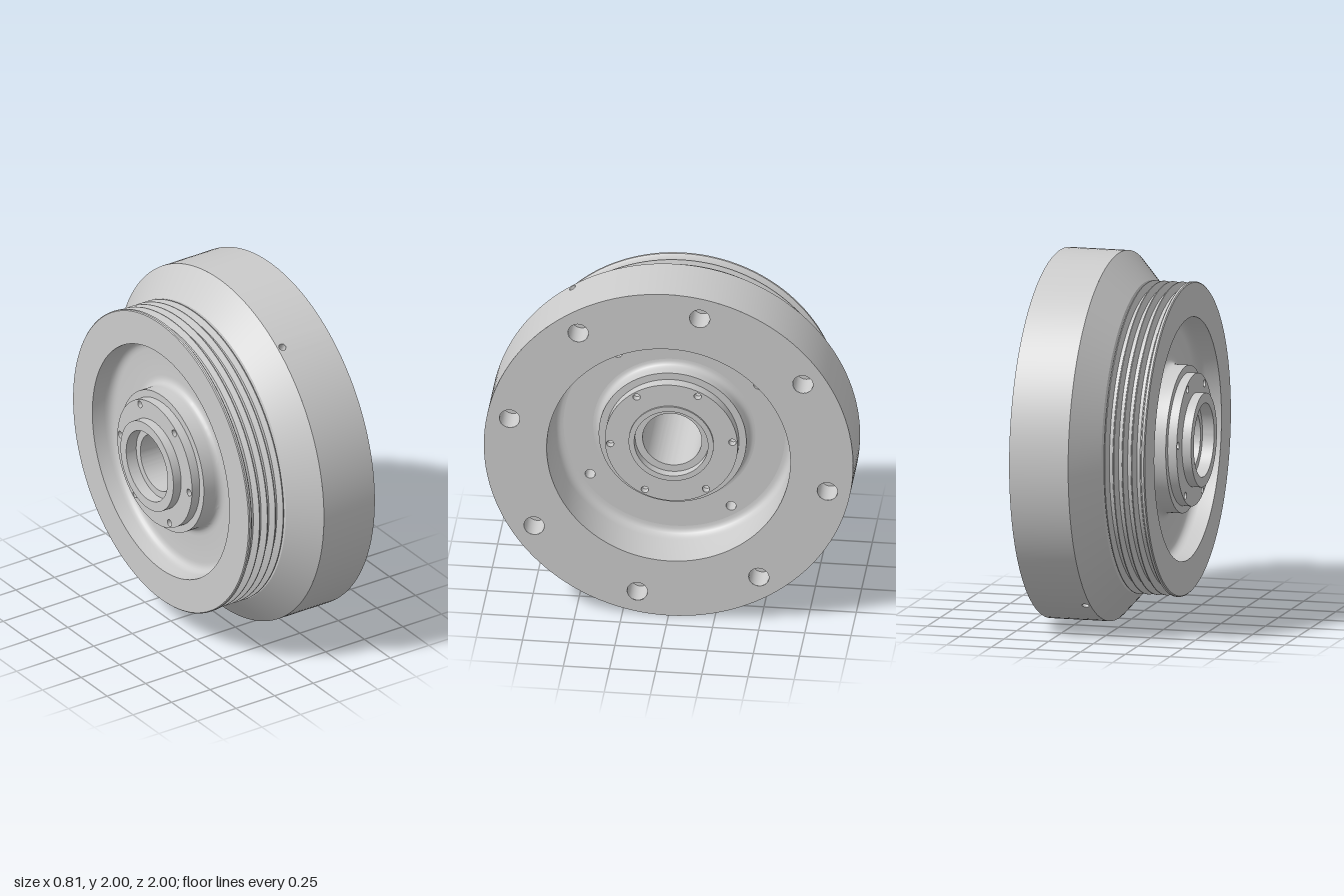
import * as THREE from 'three';
import { toCreasedNormals } from 'three/addons/utils/BufferGeometryUtils.js';

const material = new THREE.MeshStandardMaterial({ color: 0xcccccc });
const rad = THREE.MathUtils.degToRad;
const SEG = 128;

// Angle is measured in the plane across the axle, as seen from +x
const onCircle = (x, radius, a) => new THREE.Vector3(x, radius * Math.sin(a), -radius * Math.cos(a));

function add(parent, name, geometry) {
  const mesh = new THREE.Mesh(geometry, material);
  mesh.name = name;
  parent.add(mesh);
  return mesh;
}

// Revolves [radius, x] points about the x axis
function turned(points, segments = SEG, start = 0, length = Math.PI * 2) {
  const profile = points.map(([r, x]) => new THREE.Vector2(r, x));
  const geometry = new THREE.LatheGeometry(profile, segments, start, length);
  return toCreasedNormals(geometry.rotateZ(-Math.PI / 2), 0.5);
}

// Quarter-round blend between two [radius, x] points around a corner
function fillet(from, corner, to) {
  const curve = new THREE.QuadraticBezierCurve(
    new THREE.Vector2(...from), new THREE.Vector2(...corner), new THREE.Vector2(...to));
  return curve.getPoints(6).map((p) => [p.x, p.y]);
}

// Flat ring facing +x or -x with a circle of stepped blind holes
function drilledRing(parent, name, { x, facing = 1, inner, outer, count, circle, angle, pocket }) {
  const group = new THREE.Group();
  group.name = name;
  const shape = new THREE.Shape().absarc(0, 0, outer, 0, Math.PI * 2);
  shape.holes.push(new THREE.Path().absarc(0, 0, inner, 0, Math.PI * 2, true));
  const pocketGeometry = turned(pocket, 24);
  for (let i = 0; i < count; i++) {
    const a = rad(angle) + (i * Math.PI * 2) / count;
    const u = circle * Math.cos(a), v = circle * Math.sin(a);
    shape.holes.push(new THREE.Path().absarc(u, v, pocket[0][0], 0, Math.PI * 2, true));
    add(group, 'boltHole', pocketGeometry).position.set(0, v, -u);
  }
  add(group, 'ringFace', new THREE.ShapeGeometry(shape, SEG / 2).rotateY(Math.PI / 2));
  group.position.x = x;
  if (facing < 0) group.rotation.y = Math.PI;
  parent.add(group);
}

// Cylindrical rim wall, with a small radial hole on each of two opposite sides
function addRim(parent, x0, x1) {
  const half = 0.04, holeX = 0.1, holeR = 0.02;
  for (const angle of [rad(123.7), rad(303.7)]) {
    add(parent, 'rimWall', turned([[1, x0], [1, x1]], SEG / 2, angle + Math.PI + half, Math.PI - 2 * half));

    const patch = new THREE.Shape();
    patch.moveTo(-half, x0).lineTo(half, x0).lineTo(half, x1).lineTo(-half, x1).closePath();
    patch.holes.push(new THREE.Path().absarc(0, holeX, holeR, 0, Math.PI * 2, true));
    const geometry = new THREE.ShapeGeometry(patch, 16);
    const { position, normal } = geometry.attributes;
    for (let i = 0; i < position.count; i++) {
      const a = angle + position.getX(i);
      const p = onCircle(position.getY(i), 1, a);
      position.setXYZ(i, p.x, p.y, p.z);
      normal.setXYZ(i, 0, p.y, p.z);
    }
    add(parent, 'rimHolePatch', geometry);

    // Pocket turned about x, then aimed outward along the radius
    const pocket = add(parent, 'rimHole', turned([[holeR, 0], [holeR, -0.1], [0, -0.1]], 24));
    pocket.position.copy(onCircle(holeX, 1, angle));
    pocket.quaternion.setFromUnitVectors(new THREE.Vector3(1, 0, 0), onCircle(0, 1, angle));
  }
}

export function createModel() {
  const wheel = new THREE.Group();
  wheel.name = 'pulleyWheel';

  // Rim: outer wall, bolted face and the deep bore down to the web
  addRim(wheel, 0.07, 0.4);
  drilledRing(wheel, 'rimFace', {
    x: 0.4, inner: 0.66, outer: 1, count: 8, circle: 0.877, angle: 33.9,
    pocket: [[0.055, 0], [0.055, -0.15], [0.018, -0.15], [0.018, -0.3], [0, -0.3]],
  });
  add(wheel, 'rimBore', turned([
    [0.66, 0.4], ...fillet([0.655, 0.18], [0.65, 0.125], [0.6, 0.125]),
  ]));

  // Web between rim and hub
  drilledRing(wheel, 'webFace', {
    x: 0.125, inner: 0.44, outer: 0.6, count: 4, circle: 0.55, angle: 34,
    pocket: [[0.027, 0], [0.027, -0.1], [0, -0.115]],
  });

  // Hub on the open side
  add(wheel, 'hubStep', turned([
    ...fillet([0.44, 0.125], [0.4, 0.125], [0.4, 0.17]),
    [0.4, 0.21], [0.36, 0.21], [0.36, 0.27],
  ]));
  const hubPocket = [[0.02, 0], [0.02, -0.04], [0, -0.05]];
  drilledRing(wheel, 'hubFace', {
    x: 0.27, inner: 0.23, outer: 0.36, count: 6, circle: 0.332, angle: 4.5, pocket: hubPocket,
  });

  // Axle bore and the raised boss on the far side
  add(wheel, 'axleBore', turned([
    [0.23, 0.27], [0.23, 0.28], [0.2, 0.28], [0.2, 0.23], [0.16, 0.23],
    [0.16, -0.34], [0.2, -0.34], [0.2, -0.405], [0.255, -0.405], [0.255, -0.355],
  ]));
  drilledRing(wheel, 'hubBackFace', {
    x: -0.355, facing: -1, inner: 0.255, outer: 0.36, count: 6, circle: 0.332, angle: 55.5, pocket: hubPocket,
  });

  // Back of the hub and web
  add(wheel, 'webBack', turned([
    [0.36, -0.355], [0.36, -0.305], [0.4, -0.305],
    ...fillet([0.4, -0.235], [0.4, -0.19], [0.45, -0.19]),
    ...fillet([0.6, -0.19], [0.65, -0.19], [0.655, -0.24]),
    [0.66, -0.315],
  ]));

  // Grooved belt track, then the cone up to the rim
  const track = [[0.66, -0.315], [0.845, -0.315], [0.85, -0.31], [0.85, -0.298], [0.84, -0.29]];
  for (let i = 0; i < 4; i++) {
    const x = -0.29 + i * 0.051;
    track.push([0.81, x + 0.012], [0.81, x + 0.03]);
    track.push([0.845, x + 0.046], [0.845, x + 0.051]);
  }
  track.push([0.81, -0.078], [0.845, -0.072], [1, 0.07]);
  add(wheel, 'beltTrack', turned(track));

  // Stand the wheel on the ground
  wheel.position.y = 1;
  const model = new THREE.Group();
  model.name = 'model';
  model.add(wheel);
  return model;
}
